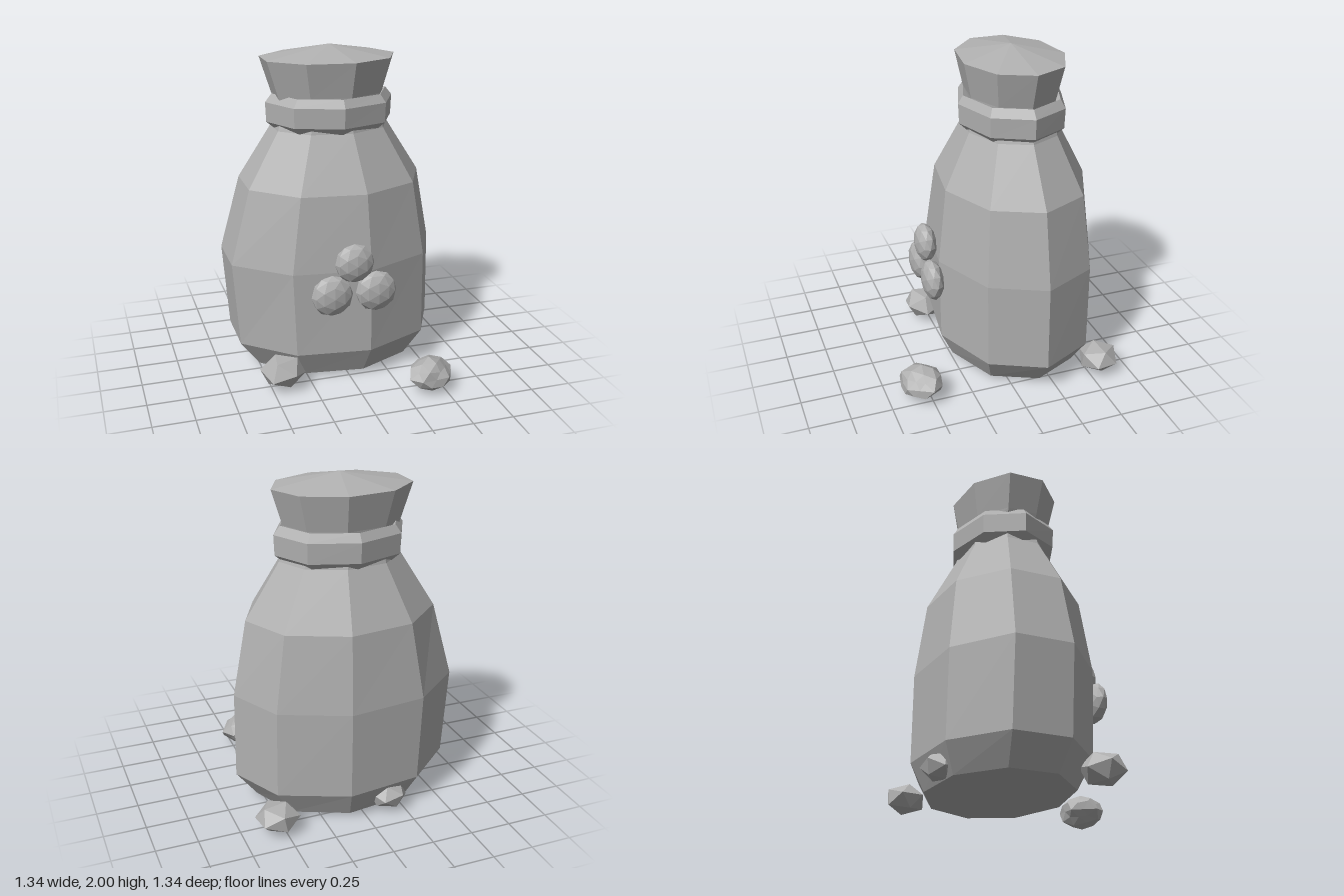
import * as THREE from 'three';

const gray = new THREE.MeshStandardMaterial({ color: 0xb0b0b0, flatShading: true });
gray.name = 'plain gray';

// Stacks elliptical rings [y, radiusX, radiusZ, stretch of the -x side] into a faceted skin
function loft(rings, sides) {
  const pos = [];
  const point = ([y, rx, rz, left = 1], j) => {
    const a = (j % sides) / sides * Math.PI * 2;
    const x = Math.cos(a) * rx;
    return [x < 0 ? x * left : x, y, Math.sin(a) * rz];
  };
  for (let i = 0; i < rings.length - 1; i++) {
    const lo = rings[i], hi = rings[i + 1];
    for (let j = 0; j < sides; j++) {
      const a = point(lo, j), b = point(hi, j), c = point(lo, j + 1), d = point(hi, j + 1);
      if (lo[1] > 0) pos.push(...a, ...b, ...c);
      if (hi[1] > 0) pos.push(...b, ...d, ...c);
    }
  }
  const g = new THREE.BufferGeometry();
  g.setAttribute('position', new THREE.Float32BufferAttribute(pos, 3));
  g.computeVertexNormals();
  return g;
}

// Moves every corner in or out by an amount that depends only on its position
function roughen(g, amount) {
  const p = g.attributes.position, v = new THREE.Vector3();
  for (let i = 0; i < p.count; i++) {
    v.fromBufferAttribute(p, i);
    const k = [v.x, v.y, v.z].map(n => Math.round(n * 100));
    const h = Math.abs(Math.sin(k[0] * 12.9 + k[1] * 78.2 + k[2] * 37.7) * 437.5) % 1;
    v.multiplyScalar(1 - amount * h);
    p.setXYZ(i, v.x, v.y, v.z);
  }
  g.computeVertexNormals();
  return g;
}

export function createModel() {
  const model = new THREE.Group();
  model.name = 'tiedSack';
  const add = (name, geometry, x, y, z) => {
    const m = new THREE.Mesh(geometry, gray);
    m.name = name;
    m.position.set(x, y, z);
    model.add(m);
    return m;
  };

  // Sack body, neck and flared top
  add('sack', loft([
    [0.025, 0, 0],
    [0.025, 0.54, 0.42],
    [0.19, 0.67, 0.5],
    [0.72, 0.665, 0.505, 1.07],
    [1.18, 0.58, 0.45],
    [1.51, 0.37, 0.285],
    [1.62, 0.33, 0.26],
    [1.72, 0.345, 0.27, 1.06],
    [1.93, 0.41, 0.315, 1.06],
    [2.0, 0, 0],
  ], 9), 0, 0, -0.17);

  // Thick tie around the neck
  add('tie', loft([
    [1.495, 0.33, 0.265],
    [1.55, 0.395, 0.32],
    [1.67, 0.4, 0.325],
    [1.72, 0.36, 0.295],
    [1.67, 0.3, 0.23],
    [1.55, 0.3, 0.23],
    [1.495, 0.33, 0.265],
  ], 8), 0, 0, -0.17);

  // Three flattened beads on the front
  for (const [x, y, r] of [[-0.01, 0.8, 0.12], [-0.147, 0.61, 0.127], [0.125, 0.61, 0.127]]) {
    add('bead', new THREE.IcosahedronGeometry(1, 1), x, y, 0.375).scale.set(r, r, 0.065);
  }

  // Loose nuggets on the ground: position, half sizes, turn, detail
  const nuggets = [
    [-0.43, 0.11, 0.275, 0.145, 0.105, 0.14, 0.4, 0],
    [0.42, 0.105, 0.55, 0.155, 0.11, 0.145, 0.9, 1],
    [0.54, 0.1, -0.565, 0.14, 0.095, 0.13, 1.7, 0],
    [-0.16, 0.1, -0.575, 0.125, 0.09, 0.115, 2.6, 0],
  ];
  for (const [x, y, z, a, b, c, turn, detail] of nuggets) {
    const g = new THREE.IcosahedronGeometry(1, detail);
    g.rotateX(turn).rotateY(turn);
    add('nugget', roughen(g, detail ? 0.3 : 0.1), x, y, z).scale.set(a, b, c);
  }
  return model;
}
